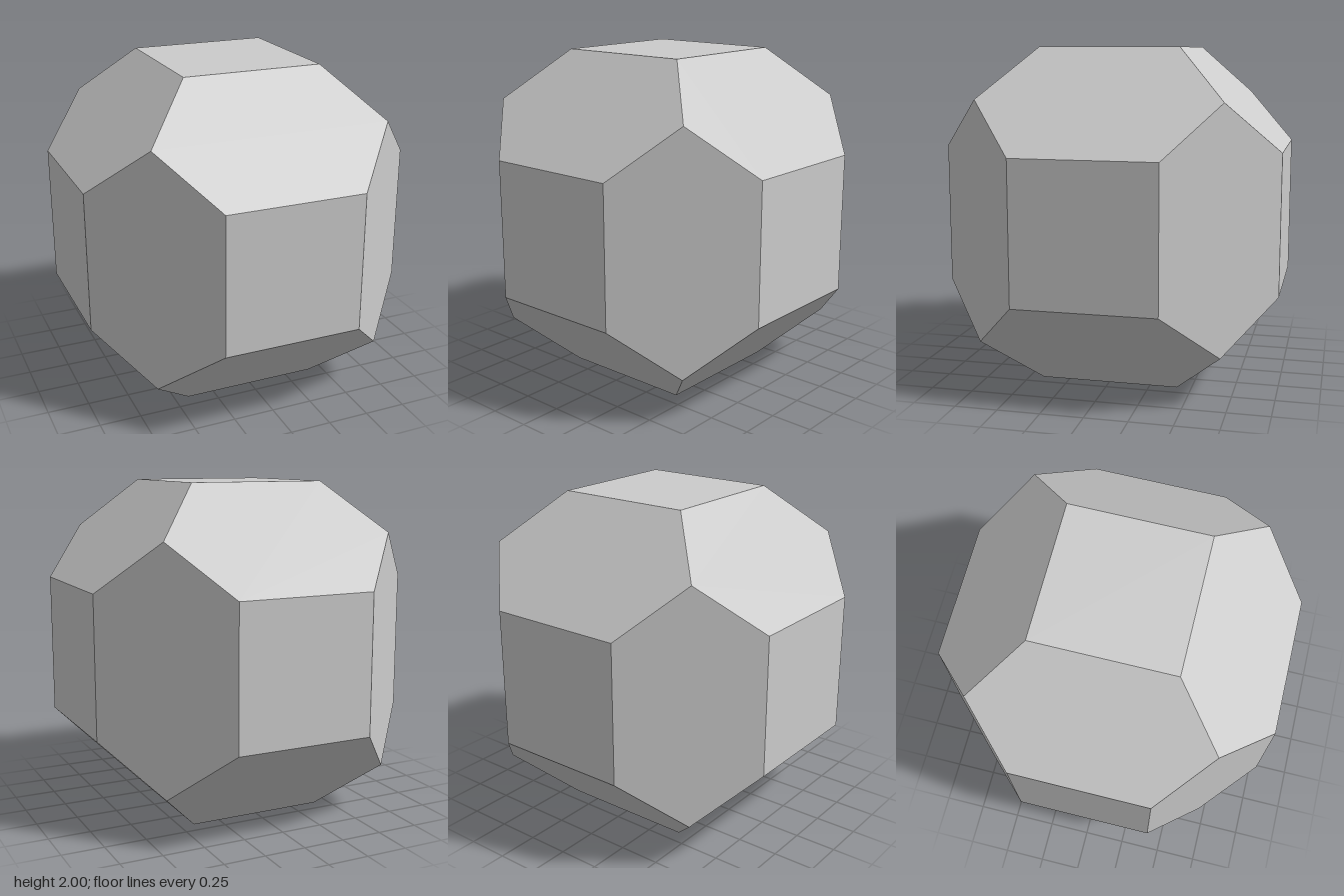
import * as THREE from 'three';
import { ConvexGeometry } from 'three/addons/geometries/ConvexGeometry.js';

// Chamfered cube: six square faces joined by twelve hexagonal edge bevels.
export function createModel() {
  const half = 1;                    // distance from centre to each square face
  const square = Math.SQRT2 - 1;     // half side of a square face
  const corner = Math.SQRT1_2;       // where three bevels meet
  const signs = [-1, 1];
  const points = [];

  for (const sx of signs) for (const sy of signs) for (const sz of signs) {
    // Corner of the solid, and the nearest corner of each of its three squares
    points.push(
      new THREE.Vector3(sx * corner, sy * corner, sz * corner),
      new THREE.Vector3(sx * half, sy * square, sz * square),
      new THREE.Vector3(sx * square, sy * half, sz * square),
      new THREE.Vector3(sx * square, sy * square, sz * half),
    );
  }

  const material = new THREE.MeshStandardMaterial({ color: 0xcccccc, flatShading: true });
  const solid = new THREE.Mesh(new ConvexGeometry(points), material);
  solid.name = 'chamferedCube';
  solid.position.y = half;

  const group = new THREE.Group();
  group.name = 'chamferedCubeModel';
  group.add(solid);
  return group;
}
